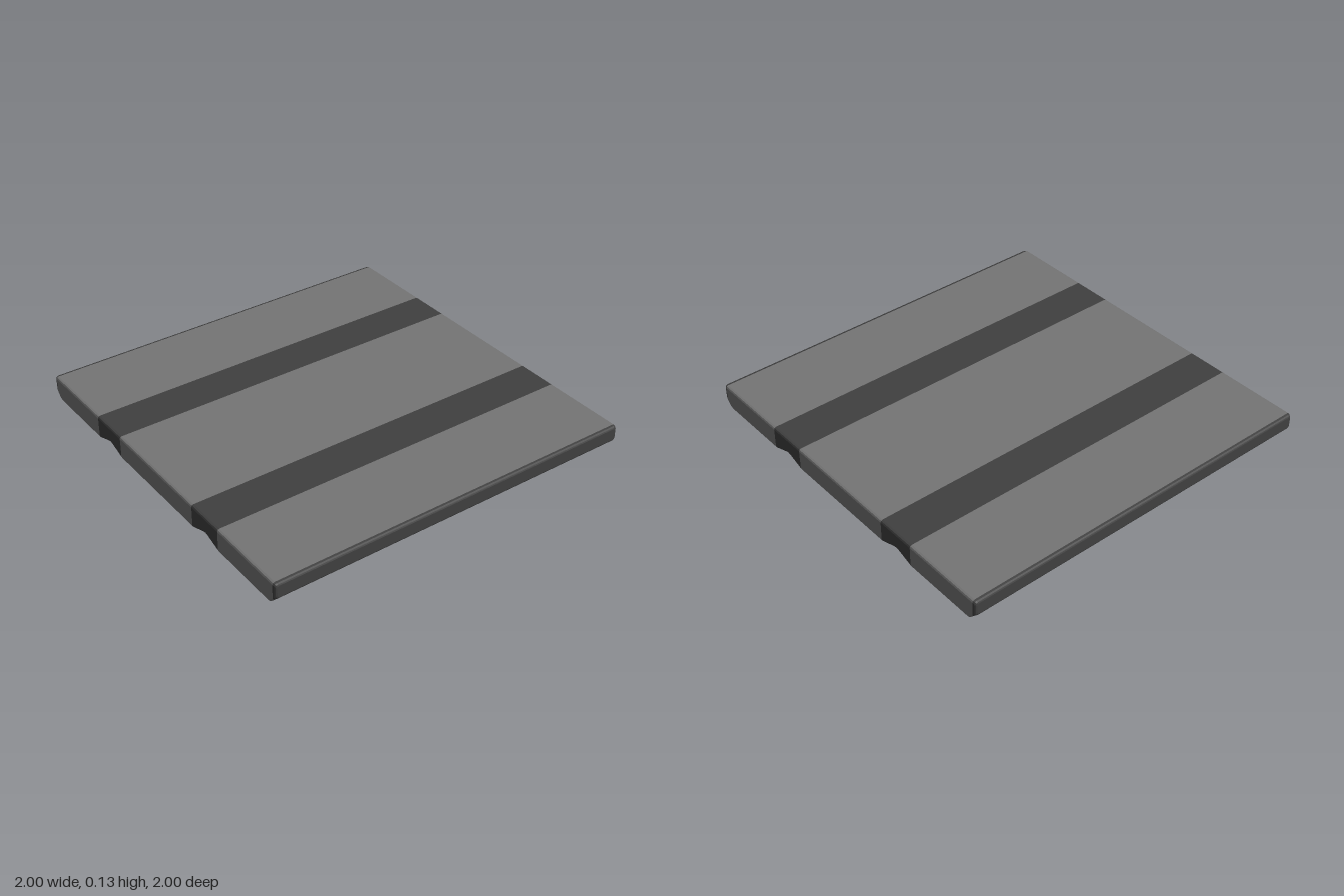
import * as THREE from 'three';

const BEVEL = 0.012;
const HEIGHT = 0.127;

// Bevelled rectangular cross-section, counter-clockwise seen from +z
function ring([z, bottom, top = HEIGHT, half = 1]) {
  const points = [];
  const corners = [[half, top], [-half, top], [-half, bottom], [half, bottom]];
  corners.forEach(([x, y], i) => {
    const cx = x - Math.sign(x) * BEVEL;
    const cy = y + (y === top ? -BEVEL : BEVEL);
    for (let s = 0; s <= 2; s++) {
      const a = (i + s / 2) * Math.PI / 2;
      points.push(new THREE.Vector3(cx + BEVEL * Math.cos(a), cy + BEVEL * Math.sin(a), z));
    }
  });
  return points;
}

// Skin through stations [z, bottom, top, halfWidth], ordered by rising z
function loft(stations) {
  const rings = stations.map(ring);
  const n = rings[0].length;
  const pos = [];
  const tri = (...v) => v.forEach((p) => pos.push(p.x, p.y, p.z));
  for (let k = 0; k < rings.length - 1; k++) {
    for (let i = 0; i < n; i++) {
      const j = (i + 1) % n;
      const [a, b, c, d] = [rings[k][i], rings[k][j], rings[k + 1][j], rings[k + 1][i]];
      tri(a, b, c);
      tri(a, c, d);
    }
  }
  // Closing faces at both ends
  const first = rings[0], last = rings[rings.length - 1];
  for (let i = 1; i < n - 1; i++) {
    tri(first[0], first[i + 1], first[i]);
    tri(last[0], last[i], last[i + 1]);
  }
  const geometry = new THREE.BufferGeometry();
  geometry.setAttribute('position', new THREE.Float32BufferAttribute(pos, 3));
  geometry.computeVertexNormals();
  return geometry;
}

export function createModel() {
  const group = new THREE.Group();
  const light = new THREE.MeshStandardMaterial({ color: 0x757575, flatShading: true });
  const dark = new THREE.MeshStandardMaterial({ color: 0x404040, flatShading: true });

  const add = (name, stations, material) => {
    const mesh = new THREE.Mesh(loft(stations), material);
    mesh.name = name;
    group.add(mesh);
  };
  // Front part and its mirrored twin at the back
  const addPair = (name, stations, material) => {
    add('front' + name, stations, material);
    add('back' + name, stations.map(([z, ...rest]) => [-z, ...rest]).reverse(), material);
  };

  add('centrePanel', [[-0.327, 0], [0.327, 0]], light);

  // Dark strips with a shallow groove underneath
  addPair('GrooveStrip', [[0.327, 0], [0.42, 0.032], [0.435, 0.035], [0.45, 0.032], [0.543, 0]], dark);

  // Outer panels, chamfered below towards the end
  addPair('OuterPanel', [[0.543, 0], [0.945, 0], [0.957, 0.005], [0.98, 0.03]], light);

  // Thin dark edge trim with softened corners
  addPair('EdgeTrim', [
    [0.98, 0.03],
    [0.99, 0.039, HEIGHT - 0.002, 0.998],
    [0.997, 0.046, HEIGHT - 0.006, 0.994],
    [1, 0.053, HEIGHT - 0.012, 0.988],
  ], dark);

  return group;
}
